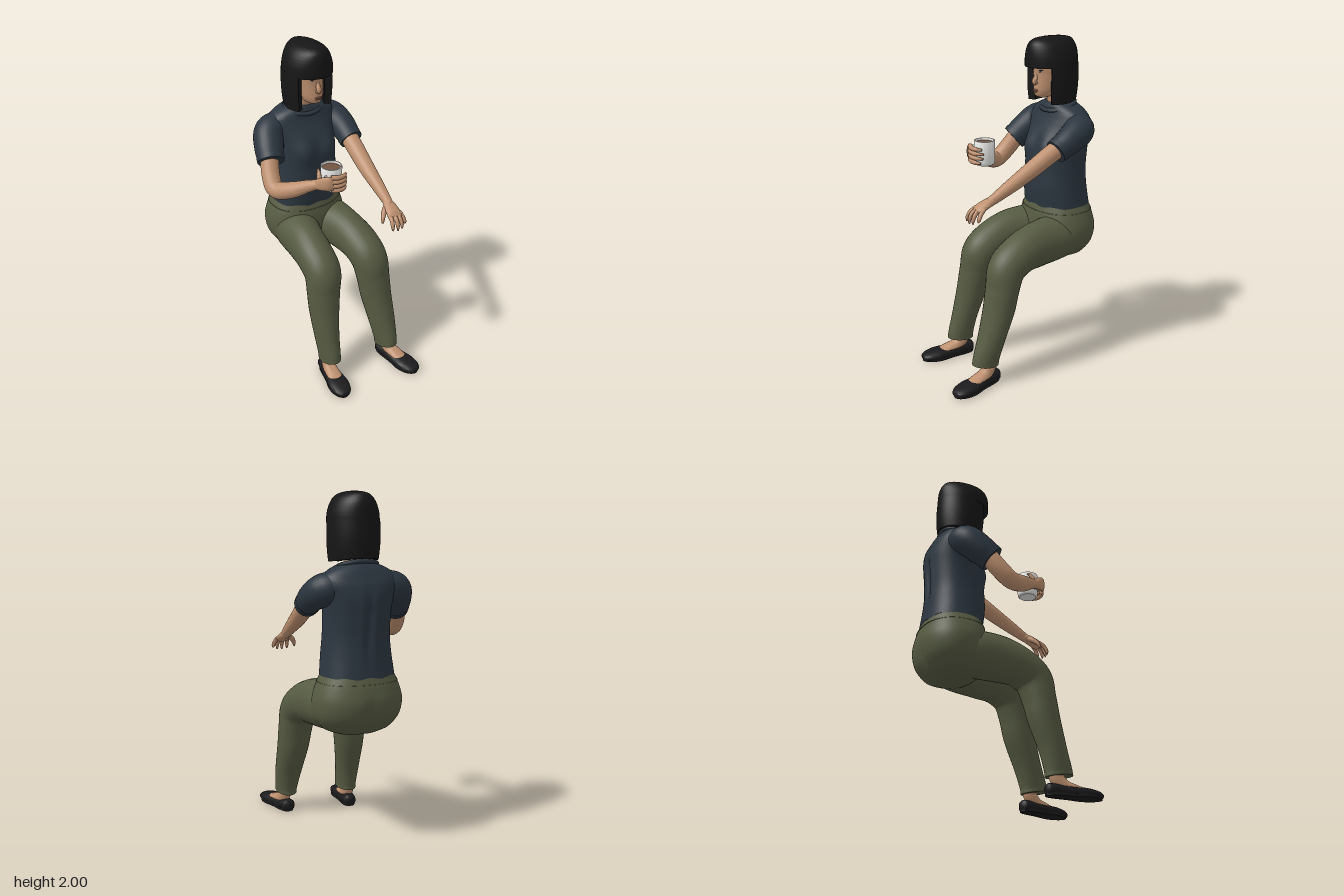
import * as THREE from 'three';
import { toCreasedNormals } from 'three/addons/utils/BufferGeometryUtils.js';

const mat = (name, color) => {
  const m = new THREE.MeshStandardMaterial({ color });
  m.name = name;
  return m;
};
const V = (x, y, z) => new THREE.Vector3(x, y, z);
const bell = (v, mid, width) => Math.exp(-(((v - mid) / width) ** 2));

// Smooth tube through stations [x, y, z, sideRadius, otherRadius];
// ref sets the side direction, dir fixes the section plane, pow squares the section, warp moves points.
function limb(stations, { ref = V(1, 0, 0), dir = null, pow = 2, sides = 28, per = 6, warp = null } = {}) {
  const path = new THREE.CatmullRomCurve3(stations.map(s => V(s[0], s[1], s[2])));
  const size = new THREE.CatmullRomCurve3(stations.map(s => V(s[3], s[4] ?? s[3], 0)), false, 'catmullrom');
  const steps = (stations.length - 1) * per, pos = [], idx = [];
  const bend = c => Math.sign(c) * Math.pow(Math.abs(c), 2 / pow);
  for (let i = 0; i <= steps; i++) {
    const c = path.getPoint(i / steps), r = size.getPoint(i / steps);
    const t = dir || path.getTangent(i / steps);
    const side = ref.clone().addScaledVector(t, -ref.dot(t)).normalize();
    const up = t.clone().cross(side);
    for (let j = 0; j < sides; j++) {
      const a = j / sides * Math.PI * 2;
      const p = c.clone().addScaledVector(side, r.x * bend(Math.cos(a))).addScaledVector(up, r.y * bend(Math.sin(a)));
      if (warp) warp(p, c);
      pos.push(p.x, p.y, p.z);
    }
  }
  for (let i = 0; i < steps; i++) for (let j = 0; j < sides; j++) {
    const k = (j + 1) % sides, a = i * sides, b = a + sides;
    idx.push(a + j, a + k, b + k, a + j, b + k, b + j);
  }
  // end caps
  const first = stations[0], last = stations[stations.length - 1], n = (steps + 1) * sides;
  pos.push(first[0], first[1], first[2], last[0], last[1], last[2]);
  for (let j = 0; j < sides; j++) {
    const k = (j + 1) % sides, e = steps * sides;
    idx.push(n, k, j, n + 1, e + j, e + k);
  }
  const g = new THREE.BufferGeometry();
  g.setAttribute('position', new THREE.Float32BufferAttribute(pos, 3));
  g.setIndex(idx);
  return toCreasedNormals(g, 1.0);
}

export function createModel() {
  const model = new THREE.Group();
  model.name = 'seatedWoman';
  const skin = mat('skin', 0xbe906f), shirt = mat('shirt', 0x2c3640), pants = mat('trousers', 0x565b42);
  const hair = mat('hair', 0x161616), shoe = mat('shoe', 0x1b1b1d), white = mat('mugWhite', 0xe6e6e4);
  const coffee = mat('coffee', 0x745543), lip = mat('lips', 0xa06e5a), dark = mat('eyeDark', 0x1c1613);
  white.side = THREE.DoubleSide;
  const add = (name, geo, material, parent = model) => {
    const m = new THREE.Mesh(geo, material);
    m.name = name;
    parent.add(m);
    return m;
  };
  const Y = V(0, 1, 0), armRef = V(0, 0.85, 0.5), CX = 0.035;
  const upright = { dir: Y, pow: 2.3, sides: 48 };
  // upright body stations, bottom to top, from [y, frontZ, backZ, halfWidth]
  const body = rows => rows.map(([y, f, b, w]) => [CX, y, (f + b) / 2, w, (f - b) / 2]);

  // Shirt, with a soft bust, a pleat down the back and a slightly wavy hem
  const drape = (p, c) => {
    const x = Math.abs(p.x - CX);
    if (p.z > c.z) p.z += 0.026 * bell(x, 0.085, 0.06) * bell(p.y, 1.35, 0.07);
    else p.z += (0.014 * bell(x, 0, 0.022) - 0.006 * bell(x, 0.04, 0.02)) * bell(p.y, 1.27, 0.15);
    p.y += 0.005 * Math.sin(p.x * 45) * bell(p.y, 0.985, 0.05);
  };
  add('shirtBody', limb(body([
    [0.985, -0.187, -0.533, 0.215], [1.1, -0.172, -0.52, 0.2], [1.2, -0.175, -0.515, 0.19],
    [1.32, -0.185, -0.523, 0.19], [1.42, -0.212, -0.528, 0.2], [1.5, -0.25, -0.512, 0.222],
    [1.545, -0.268, -0.49, 0.212], [1.575, -0.275, -0.475, 0.175], [1.597, -0.283, -0.46, 0.128],
    [1.608, -0.29, -0.45, 0.09]]), { ...upright, sides: 96, warp: drape }), shirt);
  const collar = add('collar', new THREE.TorusGeometry(0.09, 0.013, 10, 40), shirt);
  collar.position.set(CX, 1.592, -0.356);
  collar.rotation.x = Math.PI / 2 + 0.32;
  collar.scale.set(1.25, 1.04, 1);

  // Sleeves with turned cuffs
  const sleeves = {
    right: [[-0.09, 1.485, -0.385, 0.085], [-0.188, 1.463, -0.378, 0.092], [-0.237, 1.395, -0.31, 0.088], [-0.264, 1.335, -0.245, 0.077]],
    left: [[0.16, 1.485, -0.385, 0.085], [0.235, 1.465, -0.358, 0.092], [0.262, 1.423, -0.27, 0.083], [0.261, 1.365, -0.165, 0.068]],
  };
  for (const [side, pts] of Object.entries(sleeves)) {
    add(side + 'Sleeve', limb(pts, { ref: armRef }), shirt);
    const end = V(...pts[3].slice(0, 3)), back = end.clone().lerp(V(...pts[2].slice(0, 3)), 0.3);
    const r = pts[3][3] + 0.004;
    add(side + 'SleeveCuff', limb([[back.x, back.y, back.z, r + 0.003], [end.x, end.y, end.z, r]], { ref: armRef }), shirt);
  }

  // Arms
  add('rightArm', limb([[-0.25, 1.38, -0.29, 0.055], [-0.293, 1.255, -0.2, 0.054], [-0.3, 1.207, -0.14, 0.052],
    [-0.252, 1.235, -0.04, 0.049], [-0.195, 1.285, 0.05, 0.036], [-0.16, 1.312, 0.105, 0.028]], { ref: armRef }), skin);
  add('leftArm', limb([[0.26, 1.415, -0.25, 0.055], [0.25, 1.345, -0.12, 0.053], [0.24, 1.265, 0.02, 0.048],
    [0.232, 1.187, 0.17, 0.037], [0.226, 1.14, 0.26, 0.028], [0.224, 1.132, 0.28, 0.025]], { ref: armRef }), skin);

  // Left hand, reaching forward and down
  const finger = { sides: 12, per: 5 };
  add('leftPalm', limb([[0.226, 1.143, 0.25, 0.027, 0.026], [0.22, 1.127, 0.29, 0.039, 0.024],
    [0.215, 1.106, 0.335, 0.046, 0.02], [0.212, 1.09, 0.36, 0.042, 0.013]]), skin);
  for (let i = 0; i < 4; i++) {
    const x = 0.18 + i * 0.024, spread = (i - 1.5) * 0.008, reach = [0, 0.006, 0.003, -0.012][i];
    add('leftFinger', limb([[x, 1.105, 0.335, 0.013], [x + spread * 0.5, 1.085, 0.37 + reach, 0.0125],
      [x + spread, 1.055, 0.388 + reach, 0.011], [x + spread, 1.03 - reach, 0.392 + reach, 0.005]], finger), skin);
  }
  add('leftThumb', limb([[0.2, 1.125, 0.275, 0.017], [0.168, 1.103, 0.298, 0.016],
    [0.15, 1.078, 0.315, 0.012], [0.143, 1.054, 0.324, 0.006]], finger), skin);

  // Mug with coffee
  const mug = new THREE.Group();
  mug.name = 'mug';
  mug.position.set(-0.073, 1.26, 0.107);
  model.add(mug);
  const profile = [[0, 0], [0.05, 0], [0.059, 0.008], [0.062, 0.02], [0.062, 0.147], [0.061, 0.149], [0.055, 0.149], [0.054, 0.147], [0.054, 0.12]];
  add('mugWall', toCreasedNormals(new THREE.LatheGeometry(profile.map(p => new THREE.Vector2(...p)), 40), 0.6), white, mug);
  const drink = add('coffeeSurface', new THREE.CircleGeometry(0.0545, 40), coffee, mug);
  drink.rotation.x = -Math.PI / 2;
  drink.position.y = 0.135;
  const handle = add('mugHandle', new THREE.TorusGeometry(0.034, 0.006, 8, 20, Math.PI), white, mug);
  handle.position.set(-0.053, 0.075, 0.027);
  handle.rotation.set(0, 0.47, Math.PI / 2);

  // Right hand, wrapped around the mug
  add('rightPalm', limb([[-0.167, 1.305, 0.09, 0.028, 0.026], [-0.16, 1.322, 0.13, 0.038, 0.02],
    [-0.138, 1.337, 0.172, 0.045, 0.016], [-0.115, 1.338, 0.187, 0.042, 0.012]], { ref: Y }), skin);
  for (let i = 0; i < 4; i++) {
    const y = 1.375 - i * 0.027, tip = [1.05, 1.2, 1.15, 0.95][i];
    const pts = [-0.65, -0.2, 0.35, 0.8].map((a, k) => {
      const ang = a * (k > 1 ? tip : 1);
      return [-0.073 + 0.079 * Math.sin(ang), y - k * 0.003, 0.107 + 0.088 * Math.cos(ang), [0.014, 0.0135, 0.0125, 0.007][k]];
    });
    add('rightFinger', limb(pts, { ...finger, ref: Y }), skin);
  }
  add('rightThumb', limb([[-0.162, 1.325, 0.115, 0.016], [-0.152, 1.353, 0.1, 0.014],
    [-0.145, 1.375, 0.085, 0.011], [-0.138, 1.388, 0.068, 0.005]], finger), skin);

  // Trousers
  const cleft = (p, c) => {
    if (p.z < c.z) p.z += 0.018 * bell(p.x, CX, 0.03) * bell(p.y, 0.76, 0.1);
  };
  add('hips', limb(body([
    [0.64, -0.29, -0.4, 0.06], [0.65, -0.25, -0.44, 0.12], [0.68, -0.2, -0.492, 0.195], [0.75, -0.165, -0.543, 0.248],
    [0.84, -0.165, -0.562, 0.262], [0.92, -0.175, -0.55, 0.243], [1.0, -0.195, -0.527, 0.208]]),
  { ...upright, sides: 72, warp: cleft }), pants);
  add('waistSeam', limb(body([[0.946, -0.178, -0.547, 0.235], [0.952, -0.179, -0.545, 0.233]]), upright), pants);
  add('leftLeg', limb([[0.125, 0.8, -0.5, 0.04, 0.04], [0.13, 0.8, -0.45, 0.1, 0.1], [0.152, 0.792, -0.28, 0.138, 0.137],
    [0.172, 0.78, -0.1, 0.12, 0.14], [0.185, 0.75, 0.04, 0.118, 0.122], [0.193, 0.685, 0.135, 0.114, 0.115],
    [0.2, 0.57, 0.172, 0.106, 0.1], [0.205, 0.45, 0.2, 0.099, 0.095], [0.213, 0.28, 0.26, 0.085, 0.082],
    [0.215, 0.15, 0.303, 0.067, 0.085], [0.215, 0.118, 0.308, 0.065, 0.087]]), pants);
  add('rightLeg', limb([[-0.055, 0.8, -0.5, 0.04, 0.04], [-0.06, 0.8, -0.45, 0.1, 0.1], [-0.085, 0.792, -0.28, 0.138, 0.137],
    [-0.115, 0.78, -0.11, 0.12, 0.14], [-0.128, 0.75, 0.01, 0.116, 0.122], [-0.133, 0.685, 0.1, 0.113, 0.115],
    [-0.147, 0.57, 0.13, 0.104, 0.1], [-0.158, 0.45, 0.153, 0.094, 0.095], [-0.17, 0.28, 0.2, 0.077, 0.082],
    [-0.173, 0.15, 0.233, 0.064, 0.085], [-0.173, 0.118, 0.237, 0.063, 0.087]]), pants);

  // Feet in flat slip-on shoes
  for (const [side, x, z, turn] of [['left', 0.234, 0.31, 0.16], ['right', -0.185, 0.238, -0.16]]) {
    const foot = new THREE.Group();
    foot.name = side + 'Foot';
    foot.position.set(x, 0, z);
    foot.rotation.y = turn;
    model.add(foot);
    add('ankle', limb([[0, 0.2, -0.02, 0.036, 0.045], [0, 0.11, -0.022, 0.037, 0.045], [0, 0.064, 0.015, 0.041, 0.041],
      [0, 0.052, 0.075, 0.045, 0.027], [0, 0.038, 0.14, 0.044, 0.02]]), skin, foot);
    add('shoeUpper', limb([[0, 0.035, -0.092, 0.018, 0.02], [0, 0.035, -0.078, 0.038, 0.036], [0, 0.033, 0, 0.046, 0.037],
      [0, 0.03, 0.09, 0.057, 0.033], [0, 0.028, 0.16, 0.063, 0.031], [0, 0.024, 0.22, 0.052, 0.023],
      [0, 0.02, 0.25, 0.029, 0.014], [0, 0.02, 0.254, 0.012, 0.006]], { pow: 2.3 }), shoe, foot);
    const sole = new THREE.Shape();
    sole.moveTo(0, -0.09);
    sole.bezierCurveTo(0.06, -0.09, 0.035, 0.02, 0.055, 0.1);
    sole.bezierCurveTo(0.075, 0.18, 0.04, 0.25, 0, 0.252);
    sole.bezierCurveTo(-0.04, 0.25, -0.075, 0.18, -0.055, 0.1);
    sole.bezierCurveTo(-0.035, 0.02, -0.06, -0.09, 0, -0.09);
    const base = add('shoeSole', new THREE.ExtrudeGeometry(sole, { depth: 0.018, bevelEnabled: false, curveSegments: 12 }), shoe, foot);
    base.rotation.x = Math.PI / 2;
    base.position.y = 0.018;
  }

  // Neck, head and face
  add('neck', limb([[CX, 1.53, -0.385, 0.075], [CX, 1.6, -0.36, 0.064], [CX, 1.72, -0.33, 0.06]]), skin);
  add('head', limb(body([
    [1.642, -0.222, -0.262, 0.018], [1.655, -0.193, -0.32, 0.046], [1.685, -0.184, -0.37, 0.066], [1.72, -0.184, -0.42, 0.078],
    [1.78, -0.187, -0.44, 0.087], [1.84, -0.183, -0.445, 0.089], [1.92, -0.21, -0.42, 0.075]]), { dir: Y, sides: 36 }), skin);
  add('nose', limb([[CX, 1.8, -0.204, 0.012], [CX, 1.77, -0.192, 0.013], [CX, 1.742, -0.177, 0.015], [CX, 1.728, -0.186, 0.015]],
    { sides: 18 }), skin);
  const dab = (name, m, x, y, z, w, h, d, tilt = 0) => {
    const e = add(name, new THREE.SphereGeometry(1, 16, 10), m);
    e.position.set(CX + x, y, z);
    e.scale.set(w, h, d);
    e.rotation.set(0, x * 8, tilt);
  };
  for (const s of [-1, 1]) {
    dab('nostril', skin, s * 0.012, 1.733, -0.183, 0.009, 0.007, 0.008);
    dab('eyeWhite', white, s * 0.036, 1.802, -0.195, 0.014, 0.005, 0.004);
    dab('iris', dark, s * 0.036, 1.803, -0.193, 0.007, 0.006, 0.004);
    dab('upperLid', dark, s * 0.037, 1.808, -0.195, 0.019, 0.0035, 0.0045, s * 0.1);
    dab('eyebrow', dark, s * 0.038, 1.826, -0.195, 0.021, 0.0035, 0.0045, s * 0.1);
  }
  dab('upperLip', lip, 0, 1.691, -0.185, 0.024, 0.005, 0.007);
  dab('lowerLip', lip, 0, 1.683, -0.185, 0.02, 0.006, 0.007);

  // Bobbed hair: crown with fringe, and a curtain open at the face
  add('hairCrown', limb(body([
    [1.826, -0.138, -0.467, 0.146], [1.88, -0.136, -0.467, 0.141], [1.93, -0.14, -0.463, 0.124], [1.965, -0.152, -0.45, 0.101],
    [1.987, -0.18, -0.43, 0.07], [1.997, -0.235, -0.38, 0.035], [2.0, -0.28, -0.33, 0.01]]), { dir: Y, sides: 48 }), hair);
  const a0 = THREE.MathUtils.degToRad(143), a1 = THREE.MathUtils.degToRad(397);
  const bob = new THREE.Shape();
  bob.absellipse(0, 0, 0.145, 0.157, a0, a1, false);
  bob.absellipse(0, 0, 0.098, 0.115, a1, a0, true);
  const curtain = new THREE.ExtrudeGeometry(bob, { depth: 0.23, steps: 8, bevelEnabled: false, curveSegments: 32 });
  curtain.rotateX(Math.PI / 2);
  const p = curtain.attributes.position;
  for (let i = 0; i < p.count; i++) {
    const drop = -p.getY(i) / 0.23, z = p.getZ(i);
    const swell = 1 + 0.025 * Math.sin(Math.PI * drop) - 0.045 * drop ** 3;
    p.setXYZ(i, p.getX(i) * swell, p.getY(i) + drop * Math.max(0, -z) * 0.14, z * swell);
  }
  add('hairCurtain', toCreasedNormals(curtain, 0.7), hair).position.set(CX, 1.845, -0.31);
  return model;
}
